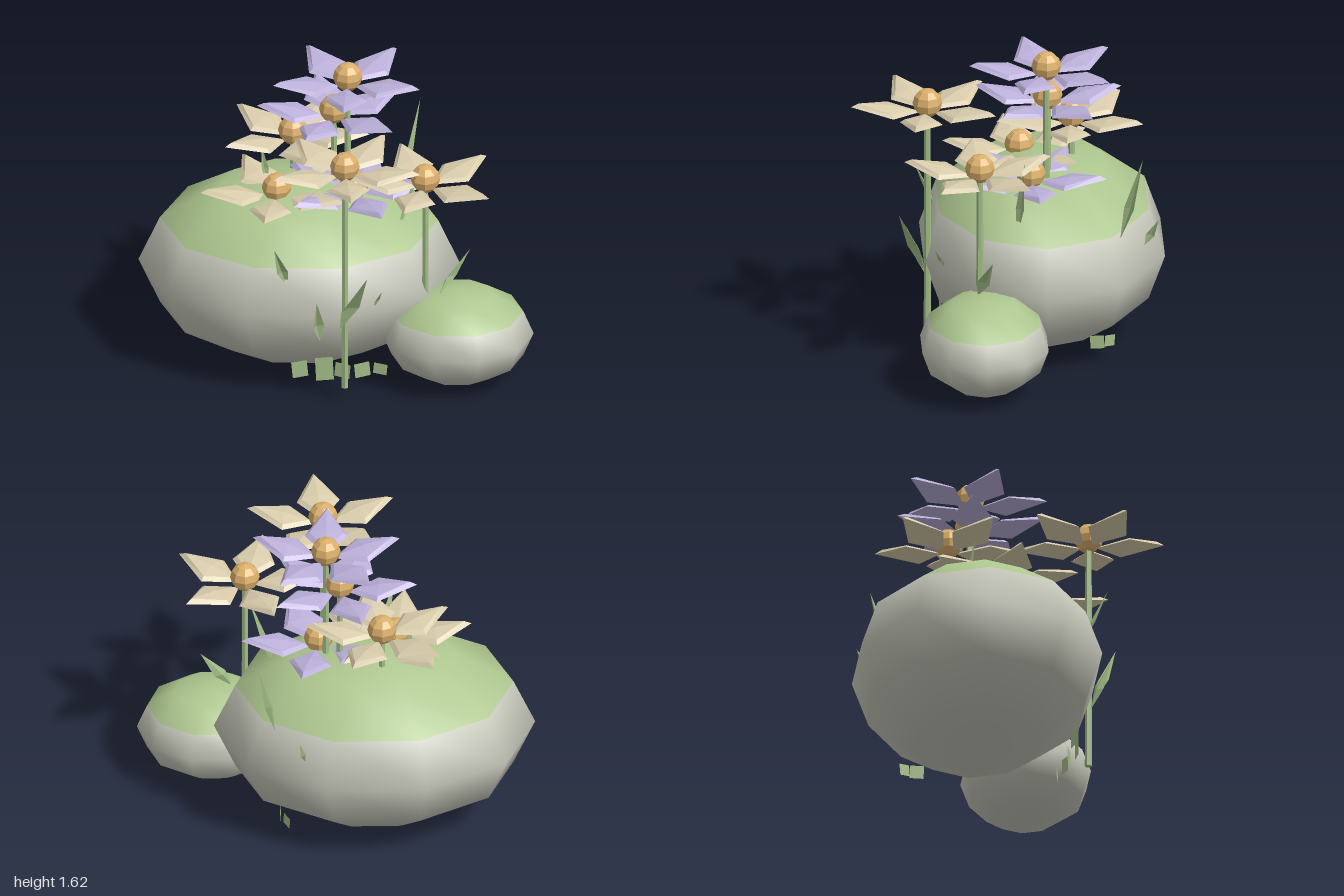
import * as THREE from 'three';

const mat = (name, color, extra = {}) => {
  const m = new THREE.MeshStandardMaterial({ color, flatShading: true, ...extra });
  m.name = name;
  return m;
};

// Flat-shaded geometry from a few corner points and triangles
function facets(points, tris) {
  const g = new THREE.BufferGeometry();
  g.setAttribute('position', new THREE.Float32BufferAttribute(points.flat(), 3));
  g.setIndex(tris.flat());
  const flat = g.toNonIndexed();
  flat.computeVertexNormals();
  return flat;
}

// Kite-shaped petal pointing along +x: bevelled rim, soft ridge, keel below
function petalGeometry() {
  const outer = [[0.04, -0.05, 0], [0.19, -0.035, 0.11], [0.39, 0, 0], [0.19, -0.035, -0.11]];
  const inner = outer.map(([x, y, z]) => [0.2 + (x - 0.2) * 0.8, y + 0.018, z * 0.78]);
  const tris = [];
  for (let i = 0; i < 4; i++) {
    const j = (i + 1) % 4;
    tris.push([i, j, 4 + j], [i, 4 + j, 4 + i], [4 + i, 4 + j, 8], [j, i, 9]);
  }
  return facets([...outer, ...inner, [0.2, 0, 0], [0.18, -0.065, 0]], tris);
}

export function createModel() {
  const group = new THREE.Group();
  const stone = mat('stone', 0xc4c5b8, { flatShading: false });
  const moss = mat('moss', 0xaec78f, { flatShading: false });
  const leaf = mat('leaf', 0xa3bd87, { side: THREE.DoubleSide });
  const cream = mat('creamPetal', 0xd9ccac);
  const purple = mat('purplePetal', 0xbcb0da);
  const pollen = mat('pollen', 0xdcb06c);

  const add = (parent, name, geometry, material, x = 0, y = 0, z = 0) => {
    const mesh = new THREE.Mesh(geometry, material);
    mesh.name = name;
    mesh.position.set(x, y, z);
    parent.add(mesh);
    return mesh;
  };

  // Rocks: smooth ten-sided ellipsoids with the top two rings mossy
  const rock = (name, center, radii) => {
    const g = new THREE.SphereGeometry(1, 10, 6);
    g.scale(...radii);
    g.clearGroups();
    g.addGroup(0, 90, 0);
    g.addGroup(90, g.index.count - 90, 1);
    add(group, name, g, [moss, stone], ...center);
  };
  rock('largeRock', [-0.19, 0.49, -0.19], [0.81, 0.485, 0.64]);
  rock('smallRock', [0.615, 0.27, 0.14], [0.385, 0.25, 0.335]);

  // Flowers: x, centre height, z, angle of first petal, stem foot, colour
  const petal = petalGeometry();
  const ball = new THREE.SphereGeometry(0.075, 8, 6);
  const flowers = [
    [0.055, 1.545, -0.2, 92, 0.8, purple],
    [-0.015, 1.355, -0.21, 111, 0.8, purple],
    [0.09, 0.97, -0.12, -4, 0.7, purple],
    [0.055, 1.355, 0.4, 84, 0.09, cream],
    [0.455, 1.16, 0.155, 33, 0.4, cream],
    [-0.225, 1.16, -0.34, 78, 0.7, cream],
    [-0.3, 0.97, -0.08, 98, 0.7, cream],
  ];
  for (const [x, y, z, angle, foot, color] of flowers) {
    const flower = new THREE.Group();
    flower.name = 'flower';
    flower.position.set(x, y, z);
    for (let i = 0; i < 5; i++) {
      add(flower, 'petal', petal, color).rotation.y = -THREE.MathUtils.degToRad(angle + i * 72);
    }
    add(flower, 'flowerCentre', ball, pollen);
    const length = y - 0.03 - foot;
    add(flower, 'stem', new THREE.CylinderGeometry(0.016, 0.019, length, 6), leaf, 0, -0.03 - length / 2, 0);
    group.add(flower);
  }

  // Grass blades: folded kites from base to tip, with half width and facing direction
  const blade = (base, tip, width, yaw) => {
    const a = new THREE.Vector3(...base);
    const b = new THREE.Vector3(...tip);
    const mid = a.clone().lerp(b, 0.38);
    const side = new THREE.Vector3(Math.cos(yaw), 0, -Math.sin(yaw)).multiplyScalar(width);
    const fold = new THREE.Vector3(Math.sin(yaw), 0, Math.cos(yaw)).multiplyScalar(width * 0.5);
    const points = [a, mid.clone().add(side), b, mid.clone().sub(side), mid.clone().sub(fold)];
    add(group, 'grassBlade', facets(points.map((p) => p.toArray()),
      [[0, 1, 4], [1, 2, 4], [2, 3, 4], [3, 0, 4]]), leaf);
  };
  blade([-0.235, 0.63, 0.34], [-0.3, 0.9, 0.46], 0.03, 0.4);
  blade([-0.07, 0.35, 0.4], [-0.085, 0.62, 0.5], 0.035, 0.7);
  blade([0.03, 0.43, 0.42], [0.17, 0.79, 0.55], 0.055, 0.6);
  blade([0.2, 0.51, 0.32], [0.24, 0.62, 0.37], 0.018, 0.8);
  blade([0.3, 0.71, -0.04], [0.44, 1.17, -0.07], 0.025, 0.9);
  blade([0.32, 0.7, -0.56], [0.41, 1.17, -0.67], 0.03, 0.9);
  blade([0.17, 0.6, -0.69], [0.2, 0.75, -0.76], 0.025, 1);
  blade([0.52, 0.49, 0.17], [0.68, 0.73, 0.1], 0.04, 0.8);
  blade([-0.35, 0.9, -0.25], [-0.38, 1.13, -0.22], 0.02, 0.5);

  // Leaf stubs low around the large rock: x, z, width, height, yaw, lean
  const stubs = [
    [-0.175, 0.3, 0.08, 0.09, 0.2, 0.1],
    [-0.05, 0.33, 0.09, 0.13, 0.1, 0.05],
    [0.04, 0.3, 0.08, 0.08, -0.3, -0.1],
    [0.14, 0.29, 0.08, 0.08, 0.3, 0.1],
    [0.23, 0.26, 0.07, 0.06, -0.2, -0.1],
    [0.29, -0.445, 0.07, 0.07, 1.5, 0.05],
    [0.26, -0.51, 0.06, 0.06, 2.1, -0.1],
  ];
  for (const [x, z, w, h, yaw, lean] of stubs) {
    const g = new THREE.PlaneGeometry(w, h);
    add(group, 'leafStub', g, leaf, x, 0.09 + h / 2, z).rotation.set(0, yaw, lean);
  }
  return group;
}
